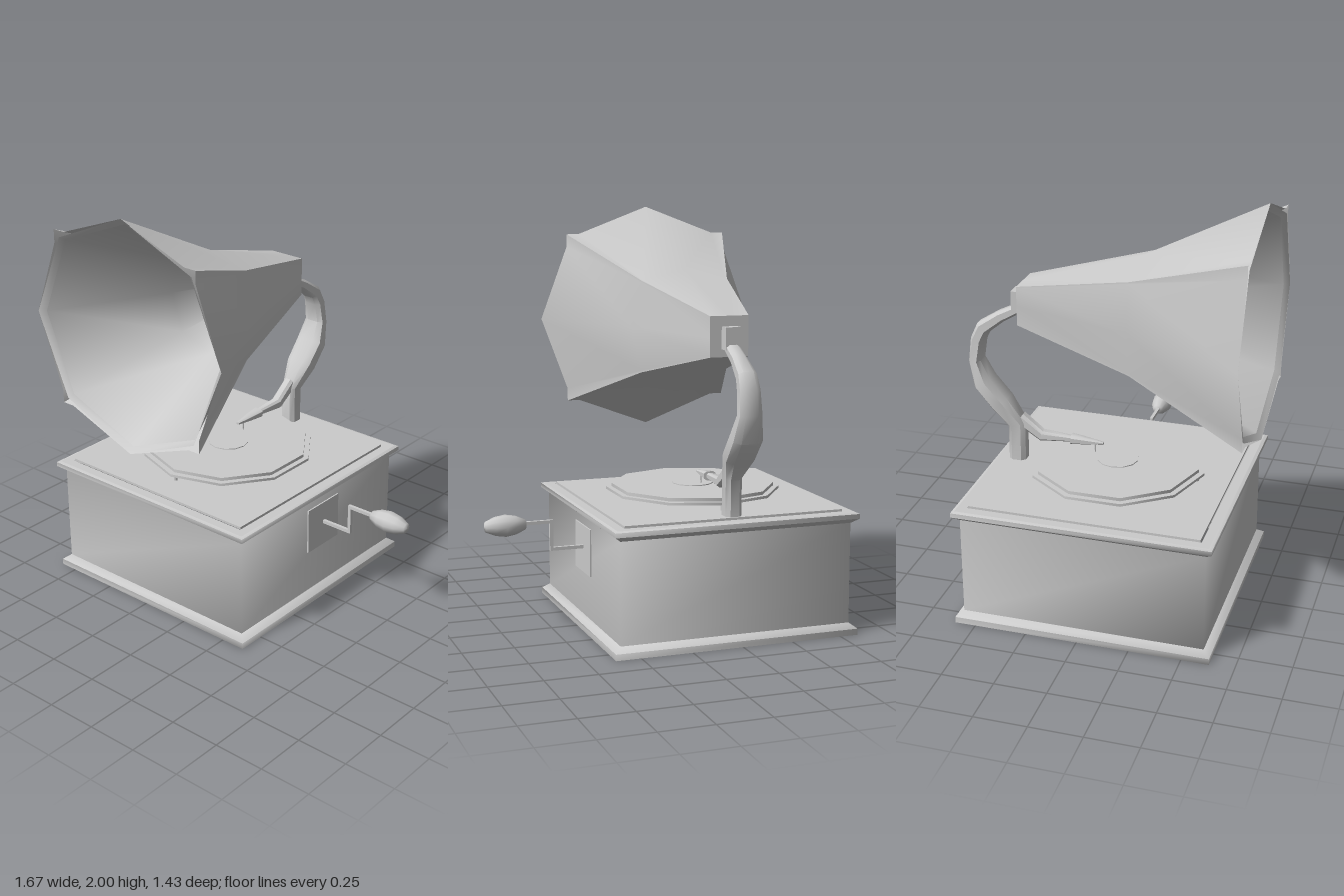
import * as THREE from 'three';
import { toCreasedNormals } from 'three/addons/utils/BufferGeometryUtils.js';

const CX = -0.234; // cabinet and horn centre line
const V = (x, y, z) => new THREE.Vector3(x, y, z);
const material = new THREE.MeshStandardMaterial({ color: 0xcccccc, side: THREE.DoubleSide });

function add(parent, name, geometry, x = 0, y = 0, z = 0) {
  const mesh = new THREE.Mesh(geometry, material);
  mesh.name = name;
  mesh.position.set(x, y, z);
  parent.add(mesh);
  return mesh;
}

// A ring shrunk to its middle closes the end of a loft.
function closeRing(ring) {
  const c = V(0, 0, 0);
  ring.forEach(p => c.add(p));
  c.divideScalar(ring.length);
  return ring.map(() => c.clone());
}

// Skin between equal-length closed rings; edges sharper than crease stay hard.
function loft(rings, crease = Math.PI) {
  const n = rings[0].length, index = [];
  for (let r = 0; r < rings.length - 1; r++)
    for (let i = 0; i < n; i++) {
      const a = r * n + i, b = r * n + (i + 1) % n;
      index.push(a, b, b + n, a, b + n, a + n);
    }
  const g = new THREE.BufferGeometry().setFromPoints(rings.flat());
  g.setIndex(index);
  g.computeVertexNormals();
  return crease < Math.PI ? toCreasedNormals(g, crease) : g;
}

// Chamfered ring around a path point in the yz plane: direction, half thickness, half width
function tubeRing(y, z, dir, thick, wide) {
  const v = V(0, Math.cos(dir), -Math.sin(dir)); // across the path
  const k = 0.55;
  return [[1, k], [k, 1], [-k, 1], [-1, k], [-1, -k], [-k, -1], [k, -1], [1, -k]]
    .map(([a, b]) => V(CX + a * wide, y + v.y * b * thick, z + v.z * b * thick));
}

// Path rows: [z, y, half thickness, half width]
function tube(rows, crease) {
  const rings = rows.map(([z, y, t, w], i) => {
    const p = rows[Math.max(i - 1, 0)], q = rows[Math.min(i + 1, rows.length - 1)];
    return tubeRing(y, z, Math.atan2(q[1] - p[1], q[0] - p[0]), t, w);
  });
  return loft([closeRing(rings[0]), ...rings, closeRing(rings.at(-1))], crease);
}

function buildCabinet() {
  const g = new THREE.Group();
  g.name = 'cabinet';
  const ring = (y, hx, hz) => [[1, 1], [1, -1], [-1, -1], [-1, 1]].map(([a, b]) => V(CX + a * hx, y, 0.016 + b * hz));
  // moulded profile, open underneath
  const profile = [[0, 0], [0.03, 0], [0.055, 0.033], [0.54, 0.033], [0.565, 0], [0.587, 0], [0.592, 0.015], [0.592, 0.06]];
  const names = ['plinth', 'plinthMoulding', 'walls', 'lidMoulding', 'lidEdge', 'lidBevel', 'lidRim'];
  const rings = profile.map(([y, inset]) => ring(y, 0.605 - inset, 0.615 - inset));
  names.forEach((name, i) => add(g, name, loft([rings[i], rings[i + 1]])));
  add(g, 'topPanel', new THREE.BoxGeometry(1.085, 0.012, 1.1), CX, 0.596, 0.016);
  return g;
}

function buildTurntable() {
  const g = new THREE.Group();
  g.name = 'turntable';
  const disc = (name, r, y, h, sides) => add(g, name,
    toCreasedNormals(new THREE.CylinderGeometry(r, r, h, sides), 0.9), CX, y, 0.022);
  disc('platter', 0.427, 0.64, 0.013, 10);
  disc('record', 0.4, 0.655, 0.016, 10);
  disc('recordLabel', 0.1, 0.665, 0.005, 12);
  for (const s of [-1, 1])
    add(g, 'platterFoot', new THREE.CylinderGeometry(0.009, 0.009, 0.035, 8), CX, 0.617, 0.022 + s * 0.392);
  return g;
}

function buildHorn() {
  const g = new THREE.Group();
  g.name = 'horn';
  const turn = (pts, z) => {
    const out = [];
    for (let k = 0; k < 4; k++)
      for (const [x, y] of pts) {
        const [c, s] = [[1, 0], [0, 1], [-1, 0], [0, -1]][k];
        out.push(V(CX + x * c - y * s, 1.43 + x * s + y * c, z));
      }
    return out;
  };
  // outer ring: mid-side point at a, squared corner at b, shoulder at c
  const outer = (z, a, b, c) => turn([[a, 0], [b, c], [b, b], [c, b]], z);
  const inner = (z, a, b) => turn([[a, 0], [b, b]], z);
  const back = outer(-0.437, 0.095, 0.095, 0.09);
  add(g, 'hornShell', loft([back, outer(0.14, 0.275, 0.225, 0.215), outer(0.715, 0.57, 0.432, 0.368)], 0.75));
  add(g, 'hornBackPlate', loft([closeRing(back), back]));
  add(g, 'hornRim', loft([inner(0.715, 0.57, 0.4), inner(0.69, 0.54, 0.385)]));
  const throat = inner(-0.4, 0.03, 0.022);
  add(g, 'hornBell', loft([inner(0.69, 0.54, 0.385), inner(0.14, 0.25, 0.185), throat, closeRing(throat)]));
  add(g, 'hornSocket', new THREE.BoxGeometry(0.075, 0.105, 0.055), CX, 1.424, -0.46);
  return g;
}

function buildArm() {
  const g = new THREE.Group();
  g.name = 'arm';
  // post and swan-neck support
  add(g, 'hornSupport', tube([
    [-0.482, 0.595, 0.042, 0.04], [-0.482, 0.785, 0.044, 0.04], [-0.56, 0.89, 0.048, 0.07],
    [-0.645, 0.99, 0.046, 0.072], [-0.683, 1.1, 0.03, 0.055], [-0.668, 1.21, 0.032, 0.05],
    [-0.64, 1.27, 0.034, 0.045], [-0.55, 1.335, 0.027, 0.035], [-0.46, 1.385, 0.022, 0.033]], 0.7));
  // tone arm reaching over the record
  add(g, 'toneArm', tube([
    [-0.47, 0.815, 0.032, 0.027], [-0.36, 0.737, 0.026, 0.027], [-0.2, 0.738, 0.013, 0.016]], 0.7));
  add(g, 'soundHead', tube([
    [-0.21, 0.738, 0.022, 0.03], [-0.14, 0.736, 0.016, 0.022], [-0.05, 0.733, 0.006, 0.008]], 0.7));
  add(g, 'needle', new THREE.CylinderGeometry(0.006, 0.002, 0.05, 6), CX, 0.707, -0.092);
  return g;
}

function buildCrank() {
  const g = new THREE.Group();
  g.name = 'crank';
  const z = -0.016;
  add(g, 'crankPlate', new THREE.BoxGeometry(0.008, 0.23, 0.235), 0.341, 0.385, -0.012);
  add(g, 'crankAxle', new THREE.BoxGeometry(0.17, 0.016, 0.016), 0.425, 0.395, z);
  add(g, 'crankThrow', new THREE.BoxGeometry(0.016, 0.15, 0.016), 0.502, 0.462, z);
  add(g, 'crankPin', new THREE.BoxGeometry(0.14, 0.016, 0.016), 0.57, 0.529, z);
  // faceted oval grip, turned along x
  const profile = [[0, -0.103], [0.025, -0.097], [0.045, -0.05], [0.053, 0], [0.045, 0.05], [0.025, 0.097], [0, 0.103]];
  const grip = new THREE.LatheGeometry(profile.map(([r, y]) => new THREE.Vector2(r, y)), 10);
  add(g, 'crankGrip', grip, 0.728, 0.526, z - 0.003).rotation.z = -Math.PI / 2;
  return g;
}

export function createModel() {
  const model = new THREE.Group();
  model.name = 'gramophone';
  model.add(buildCabinet(), buildTurntable(), buildHorn(), buildArm(), buildCrank());
  return model;
}
